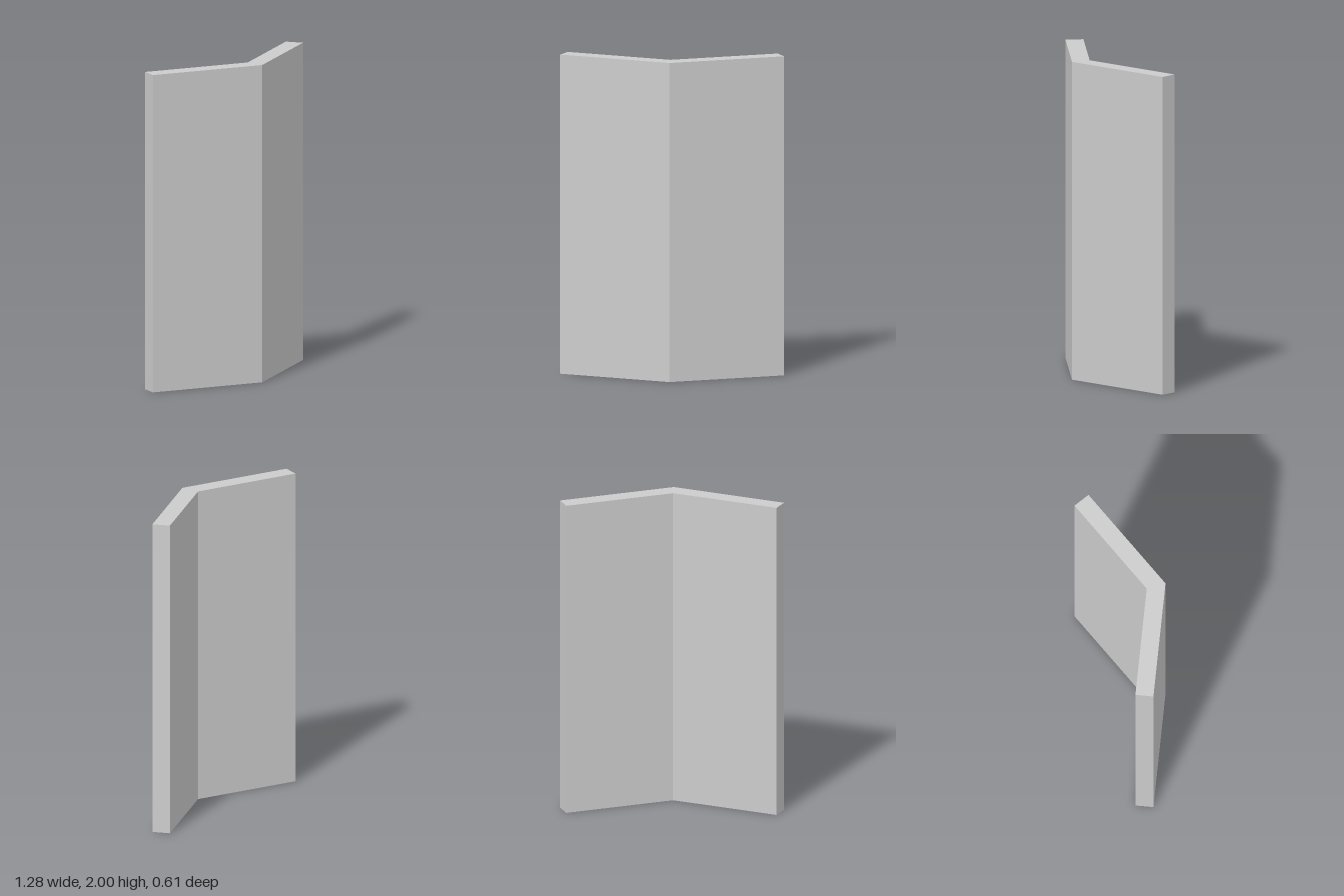
import * as THREE from 'three';

export function createModel() {
  const group = new THREE.Group();
  group.name = 'angledWall';

  // Plan outline of the bent wall as [x, z], mitred at the 45 degree corner
  const plan = [
    [-0.64, 0.304], [0.108, 0.304], [0.64, -0.228],
    [0.561, -0.307], [0.062, 0.192], [-0.64, 0.192],
  ];
  const shape = new THREE.Shape(plan.map(([x, z]) => new THREE.Vector2(x, -z)));

  // Raise the plan to full height, standing on the ground
  const geometry = new THREE.ExtrudeGeometry(shape, { depth: 2, bevelEnabled: false });
  geometry.rotateX(-Math.PI / 2);

  const wall = new THREE.Mesh(geometry, new THREE.MeshStandardMaterial({ color: 0xcccccc, flatShading: true }));
  wall.name = 'wallPanel';
  group.add(wall);
  return group;
}
